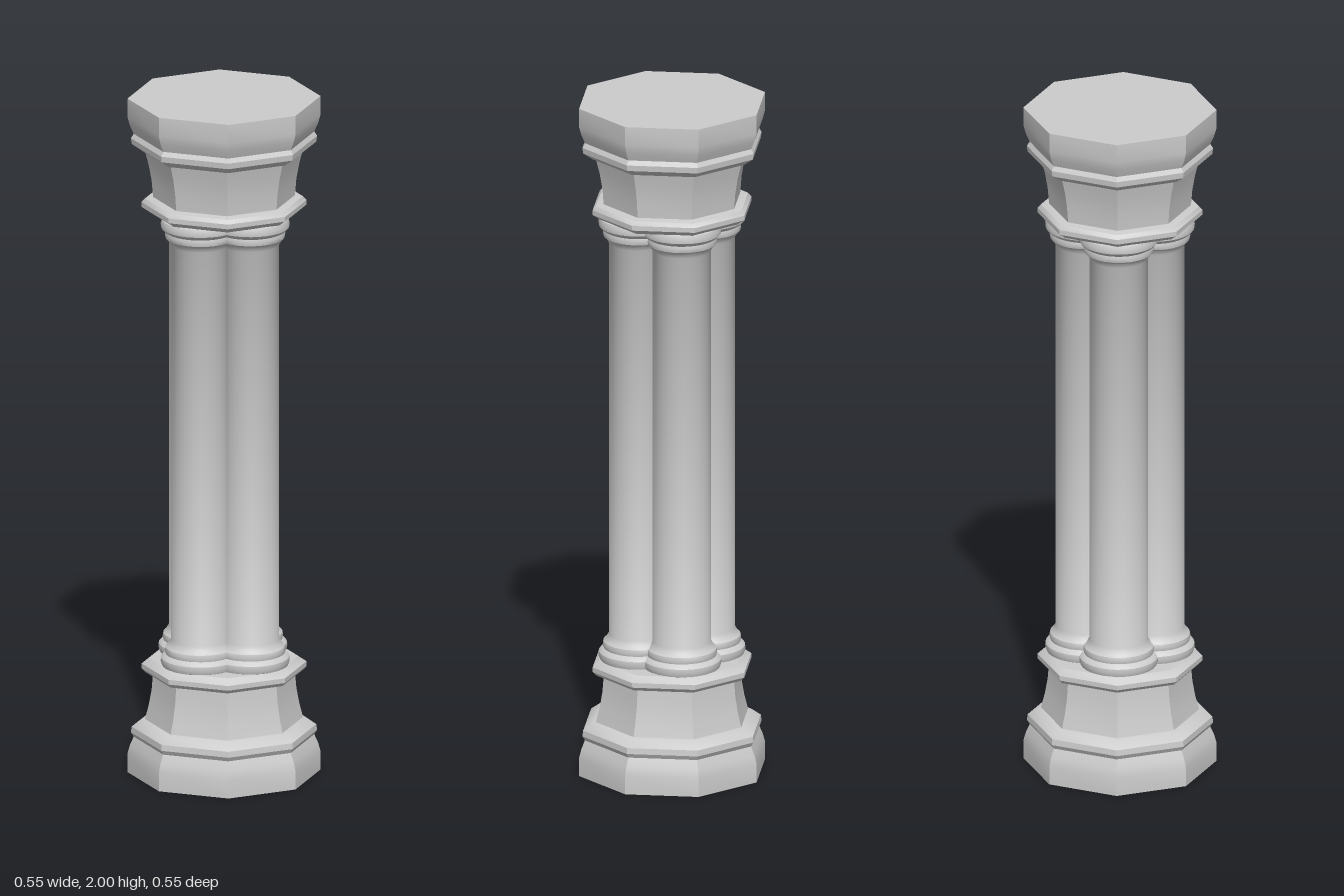
import * as THREE from 'three';
import { toCreasedNormals } from 'three/addons/utils/BufferGeometryUtils.js';

// Lathe a [radius, y] profile; edges sharper than the crease angle stay hard
function turned(profile, sides) {
  const points = profile.map(([r, y]) => new THREE.Vector2(r, y));
  return toCreasedNormals(new THREE.LatheGeometry(points, sides), 0.6);
}

// Turn a lower-end profile into its upper-end counterpart
const mirrored = (profile) => profile.map(([r, y]) => [r, 2 - y]).reverse();

export function createModel() {
  const stone = new THREE.MeshStandardMaterial({ color: 0xcccccc, side: THREE.DoubleSide });
  stone.name = 'stone';
  const model = new THREE.Group();
  model.name = 'clusteredPillar';

  const add = (name, geometry, x = 0, z = 0) => {
    const mesh = new THREE.Mesh(geometry, stone);
    mesh.name = name;
    mesh.position.set(x, 0, z);
    model.add(mesh);
  };

  // Octagonal plinth: flared foot, small moulding, concave neck and ledge ring
  const plinth = [
    [0.275, 0], [0.275, 0.055], [0.268, 0.08], [0.257, 0.105],
    [0.265, 0.118], [0.263, 0.135], [0.235, 0.155], [0.225, 0.157],
    [0.214, 0.2], [0.206, 0.245], [0.202, 0.293],
    [0.225, 0.297], [0.235, 0.308], [0.235, 0.322], [0.212, 0.338], [0, 0.338],
  ];
  add('plinth', turned(plinth, 8));

  // Octagonal capital, closed on top
  add('capital', turned([...mirrored(plinth), [0, 2]], 8));

  // Round shaft with stacked rings at both ends
  const shaftFoot = [
    [0.1, 0.335], [0.109, 0.339], [0.113, 0.35], [0.112, 0.362], [0.104, 0.371],
    [0.099, 0.374], [0.101, 0.382], [0.099, 0.393], [0.092, 0.399],
    [0.089, 0.405], [0.083, 0.415],
  ];
  const shaft = turned([...shaftFoot, ...mirrored(shaftFoot)], 32);

  // Four shafts clustered around the axis
  const names = ['frontShaft', 'leftShaft', 'backShaft', 'rightShaft'];
  names.forEach((name, i) => {
    const angle = (i * Math.PI) / 2;
    add(name, shaft, 0.1 * Math.sin(angle), 0.1 * Math.cos(angle));
  });

  return model;
}
